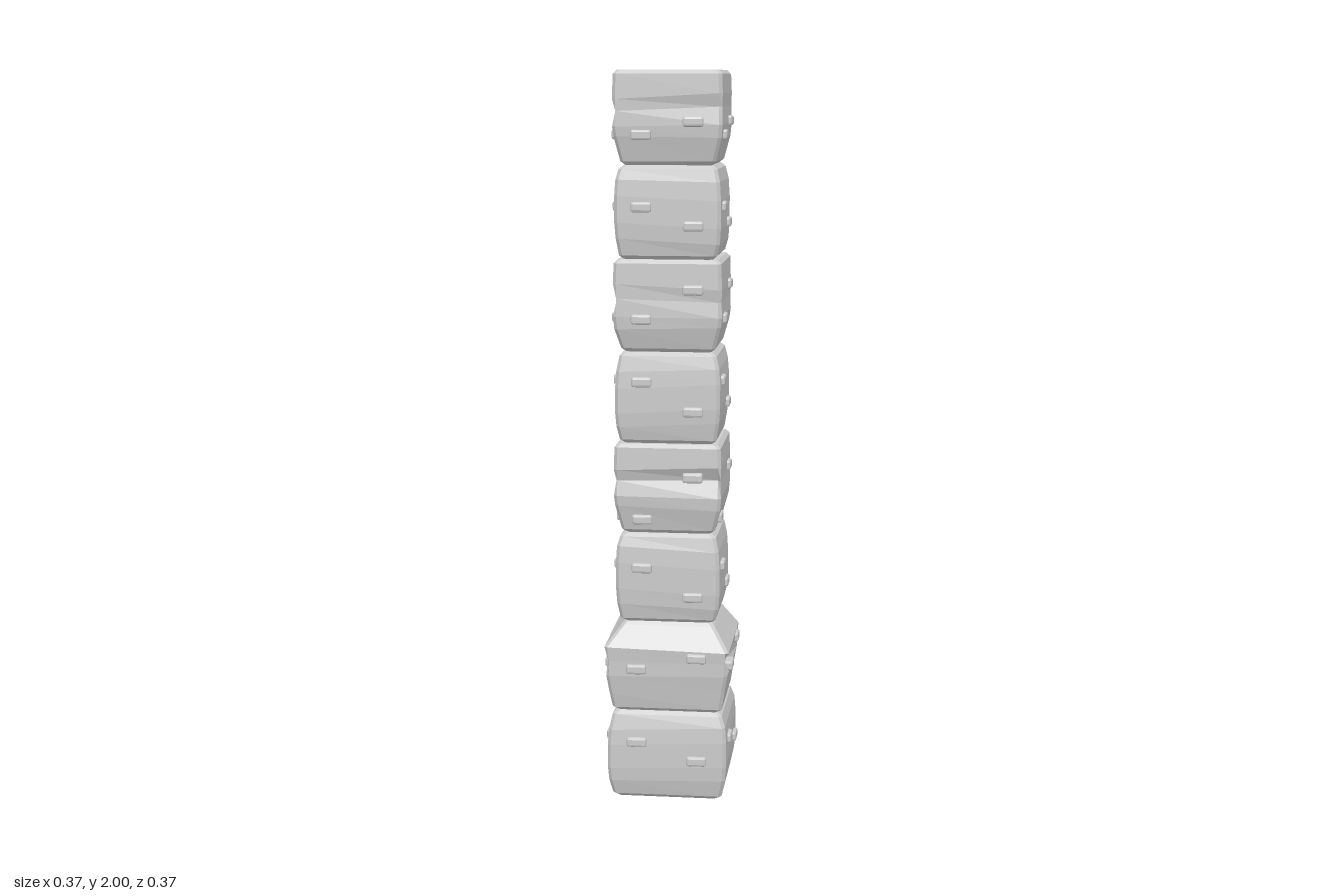
import * as THREE from 'three';
import { RoundedBoxGeometry } from 'three/addons/geometries/RoundedBoxGeometry.js';

const stone = new THREE.MeshStandardMaterial({ color: 0xcccccc, flatShading: true });

// Profiles: [height in block, half width]
const smooth = (e, w) => [[0, e - 0.012], [0.01, e], [0.05, w - 0.003], [0.09, w], [0.16, w], [0.205, w - 0.003], [0.24, e], [0.25, e - 0.012]];
const rough = [[0, 0.116], [0.01, 0.128], [0.07, 0.144], [0.1, 0.147], [0.145, 0.146], [0.18, 0.147], [0.24, 0.145], [0.25, 0.135]];
const wide = [[0, 0.14], [0.01, 0.152], [0.06, 0.16], [0.11, 0.168], [0.15, 0.169], [0.185, 0.172], [0.24, 0.129], [0.25, 0.12]];

// Grooves: depth at both ends of the +x, +z, -x, -z faces
const none = [[0, 0], [0, 0], [0, 0], [0, 0]];
const blocks = [
  { profile: smooth(0.152, 0.165), groove: none, chips: [0.165, 0.115] },
  { profile: wide, groove: [[0, 0.018], [0, 0], [0.006, 0.006], [0, 0]], chips: [0.125, 0.16] },
  { profile: smooth(0.132, 0.143), groove: none, chips: [0.155, 0.075] },
  { profile: rough, groove: [[0, 0], [0.018, 0.008], [0.006, 0.006], [0, 0]], chips: [0.04, 0.16] },
  { profile: smooth(0.132, 0.143), groove: none, chips: [0.17, 0.09] },
  { profile: rough, groove: [[0, 0], [0.005, 0], [0.01, 0.018], [0, 0]], chips: [0.09, 0.17] },
  { profile: smooth(0.132, 0.143), groove: none, chips: [0.14, 0.09] },
  { profile: rough, groove: [[0, 0], [0.008, 0], [0.008, 0.005], [0.014, 0.014]], chips: [0.08, 0.115] },
];

// Stack of square rings with chamfered corners and slightly tilted creases
function blockGeometry({ profile, groove }, seed) {
  const pos = [], index = [], chamfer = 0.009, last = profile.length - 1;
  profile.forEach(([y, h], j) => {
    const inner = j > 1 && j < last - 1;
    for (let i = 0; i < 4; i++) {
      const tilt = inner ? 0.009 * Math.sin(i * 2.1 + seed * 1.7 + j * 0.5) : 0;
      const dent = j === 4 ? 1 : 0;
      const pair = [
        [h - dent * groove[i][1], h - chamfer],
        [h - chamfer, h - dent * groove[(i + 1) % 4][0]],
      ];
      for (let [x, z] of pair) {
        for (let r = 0; r < i; r++) [x, z] = [-z, x];
        pos.push(x, y + tilt, z);
      }
    }
  });
  for (let j = 0; j < last; j++) {
    for (let k = 0; k < 8; k++) {
      const a = j * 8 + k, b = j * 8 + (k + 1) % 8;
      index.push(a, a + 8, b + 8, a, b + 8, b);
    }
  }
  // Bottom and top caps
  for (let k = 1; k < 7; k++) {
    index.push(0, k, k + 1, last * 8, last * 8 + k + 1, last * 8 + k);
  }
  const g = new THREE.BufferGeometry();
  g.setAttribute('position', new THREE.Float32BufferAttribute(pos, 3));
  g.setIndex(index);
  const flat = g.toNonIndexed();
  flat.computeVertexNormals();
  return flat;
}

// Half width of a profile at a given height
function widthAt(profile, y) {
  const j = Math.max(1, profile.findIndex((p) => p[0] >= y));
  const [y0, h0] = profile[j - 1], [y1, h1] = profile[j];
  return h0 + (h1 - h0) * (y - y0) / (y1 - y0);
}

export function createModel() {
  const model = new THREE.Group();
  model.name = 'stonePillar';
  const chipGeometry = new RoundedBoxGeometry(0.055, 0.027, 0.024, 1, 0.006);

  blocks.forEach((b, n) => {
    const block = new THREE.Group();
    block.name = 'block' + (n + 1);
    block.position.y = n * 0.25;
    block.rotation.y = 0.035;
    const body = new THREE.Mesh(blockGeometry(b, n), stone);
    body.name = 'blockBody';
    block.add(body);

    // Two raised chips on each face, mirrored on opposite faces
    const spread = n < 2 ? 0.083 : 0.07;
    for (let f = 0; f < 4; f++) {
      const face = new THREE.Group();
      face.name = 'faceChips';
      face.rotation.y = f * Math.PI / 2;
      const mirror = f < 2 ? 1 : -1;
      b.chips.forEach((y, c) => {
        const chip = new THREE.Mesh(chipGeometry, stone);
        chip.name = 'chip';
        chip.position.set(mirror * (c ? spread : -spread), y, widthAt(b.profile, y) - 0.002);
        face.add(chip);
      });
      block.add(face);
    }
    model.add(block);
  });
  return model;
}
